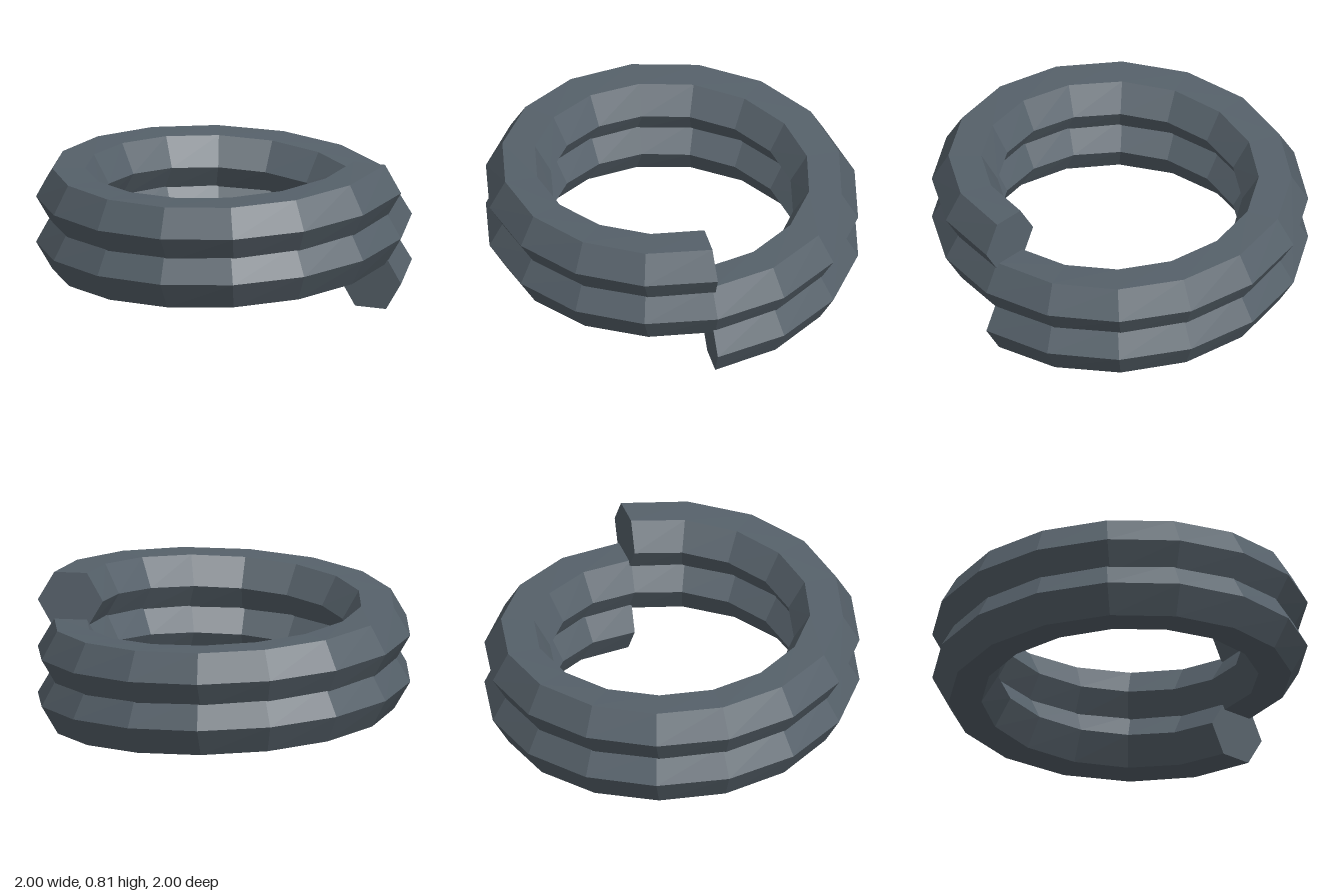
import * as THREE from 'three';

const TURNS = 2, STEPS = 16, SIDES = 6;
const RADIUS = 0.825, WIRE = 0.175, PITCH = 0.2535;
const BASE = WIRE * Math.sin(Math.PI / 3);

// Hexagonal section of the coil, held square to the path
function ring(step) {
  const a = (step / STEPS) * Math.PI * 2;
  const out = new THREE.Vector3(Math.cos(a), 0, -Math.sin(a));
  const tangent = new THREE.Vector3(-Math.sin(a), PITCH / (Math.PI * 2 * RADIUS), -Math.cos(a)).normalize();
  const up = new THREE.Vector3().crossVectors(tangent, out).negate();
  if (up.y < 0) up.negate();
  const centre = out.clone().multiplyScalar(RADIUS);
  centre.y = BASE + (PITCH * step) / STEPS;
  return Array.from({ length: SIDES }, (_, k) => {
    const t = (k / SIDES) * Math.PI * 2;
    return centre.clone()
      .addScaledVector(out, WIRE * Math.cos(t))
      .addScaledVector(up, WIRE * Math.sin(t));
  });
}

function coilGeometry() {
  const points = [], index = [];
  const last = TURNS * STEPS;
  for (let i = 0; i <= last; i++) points.push(...ring(i));

  // Walls between neighbouring sections
  for (let i = 0; i < last; i++) {
    for (let k = 0; k < SIDES; k++) {
      const n = (k + 1) % SIDES;
      const a = i * SIDES + k, b = i * SIDES + n;
      const c = b + SIDES, d = a + SIDES;
      index.push(a, d, c, a, c, b);
    }
  }
  // Flat cut ends
  const e = last * SIDES;
  for (let k = 1; k < SIDES - 1; k++) {
    index.push(0, k, k + 1);
    index.push(e, e + k + 1, e + k);
  }

  const indexed = new THREE.BufferGeometry().setFromPoints(points);
  indexed.setIndex(index);
  const geometry = indexed.toNonIndexed();
  geometry.computeVertexNormals();
  return geometry;
}

export function createModel() {
  const group = new THREE.Group();
  group.name = 'springRing';
  const material = new THREE.MeshStandardMaterial({ color: 0x56616a, flatShading: true });
  const coil = new THREE.Mesh(coilGeometry(), material);
  coil.name = 'coil';
  group.add(coil);
  return group;
}
